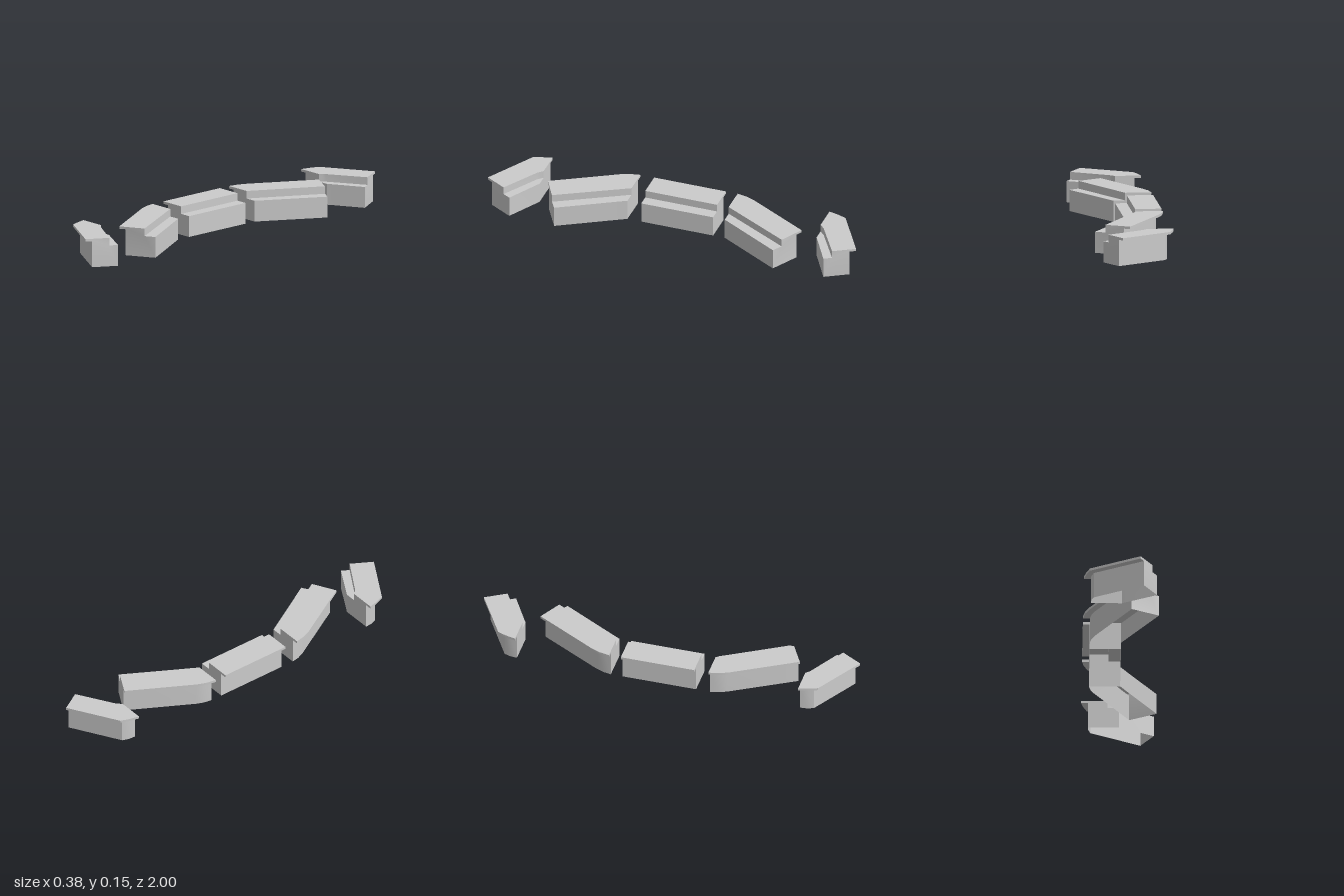
import * as THREE from 'three';
import { toCreasedNormals } from 'three/addons/utils/BufferGeometryUtils.js';

const LIP = 0.137, TOP = 0.15, LEDGE = 0.11;

// Each station lists [x, z] of: lip edge, outer wall, step, inner wall.
// The hollow profile is lofted through the stations; the underside stays open.
function profile([lip, wall, step, inner]) {
  return [[wall, 0], [wall, LIP], [lip, LIP], [lip, TOP],
    [step, TOP], [step, LEDGE], [inner, LEDGE], [inner, 0]]
    .map(([p, y]) => new THREE.Vector3(p[0], y, p[1]));
}

function shell(stations) {
  const rings = stations.map(profile);
  const pos = [];
  const tri = (...pts) => pts.forEach(p => pos.push(p.x, p.y, p.z));

  // skin between neighbouring stations
  for (let s = 0; s < rings.length - 1; s++) {
    const a = rings[s], b = rings[s + 1];
    for (let i = 0; i < a.length - 1; i++) {
      tri(a[i], b[i], a[i + 1]);
      tri(a[i + 1], b[i], b[i + 1]);
    }
  }

  // end caps
  [[0, -1], [rings.length - 1, 1]].forEach(([s, sign]) => {
    const ring = rings[s], lip = stations[s][0];
    const flat = ring.map(p => new THREE.Vector2(Math.hypot(p.x - lip[0], p.z - lip[1]), p.y));
    THREE.ShapeUtils.triangulateShape(flat.slice(), []).forEach(([i, j, k]) => {
      const area = THREE.ShapeUtils.area([flat[i], flat[j], flat[k]]);
      if (area * sign > 0) tri(ring[i], ring[j], ring[k]);
      else tri(ring[i], ring[k], ring[j]);
    });
  });

  const geo = new THREE.BufferGeometry();
  geo.setAttribute('position', new THREE.Float32BufferAttribute(pos, 3));
  geo.computeVertexNormals();
  return toCreasedNormals(geo, 0.4);
}

// Mirrors front to back; reversing the order keeps the faces outward
const mirrored = (stations, shift) =>
  stations.map(st => st.map(([x, z]) => [x, shift - z])).reverse();

export function createModel() {
  const group = new THREE.Group();
  const material = new THREE.MeshStandardMaterial({ color: 0xcccccc, side: THREE.DoubleSide });
  const add = (name, stations) => {
    const mesh = new THREE.Mesh(shell(stations), material);
    mesh.name = name;
    group.add(mesh);
  };

  const middle = [-0.19, 0.2].map(z => [[-0.195, z], [-0.16, z], [-0.06, z], [0, z]]);

  // bends 30 degrees off the middle, then runs straight
  const slanted = [
    [[-0.195, 0.275], [-0.16, 0.275], [-0.06, 0.275], [0, 0.275]],
    [[-0.184, 0.33], [-0.152, 0.318], [-0.04, 0.311], [0.02, 0.31]],
    [[-0.165, 0.375], [-0.135, 0.358], [-0.02, 0.347], [0.04, 0.345]],
    [[0.02, 0.7], [0.05, 0.683], [0.14, 0.635], [0.19, 0.605]],
  ];

  // shorter outer block with a sharper bend
  const end = [
    [[-0.195, 0.752], [-0.16, 0.752], [-0.06, 0.752], [0, 0.752]],
    [[-0.182, 0.805], [-0.157, 0.79], [-0.048, 0.765], [0.01, 0.758]],
    [[-0.165, 0.85], [-0.145, 0.822], [-0.035, 0.778], [0.02, 0.764]],
    [[0.092, 1], [0.11, 0.97], [0.155, 0.892], [0.178, 0.853]],
  ];

  add('middleBlock', middle);
  add('frontSlantedBlock', slanted);
  add('backSlantedBlock', mirrored(slanted, 0.022));
  add('frontEndBlock', end);
  add('backEndBlock', mirrored(end, 0));
  return group;
}
